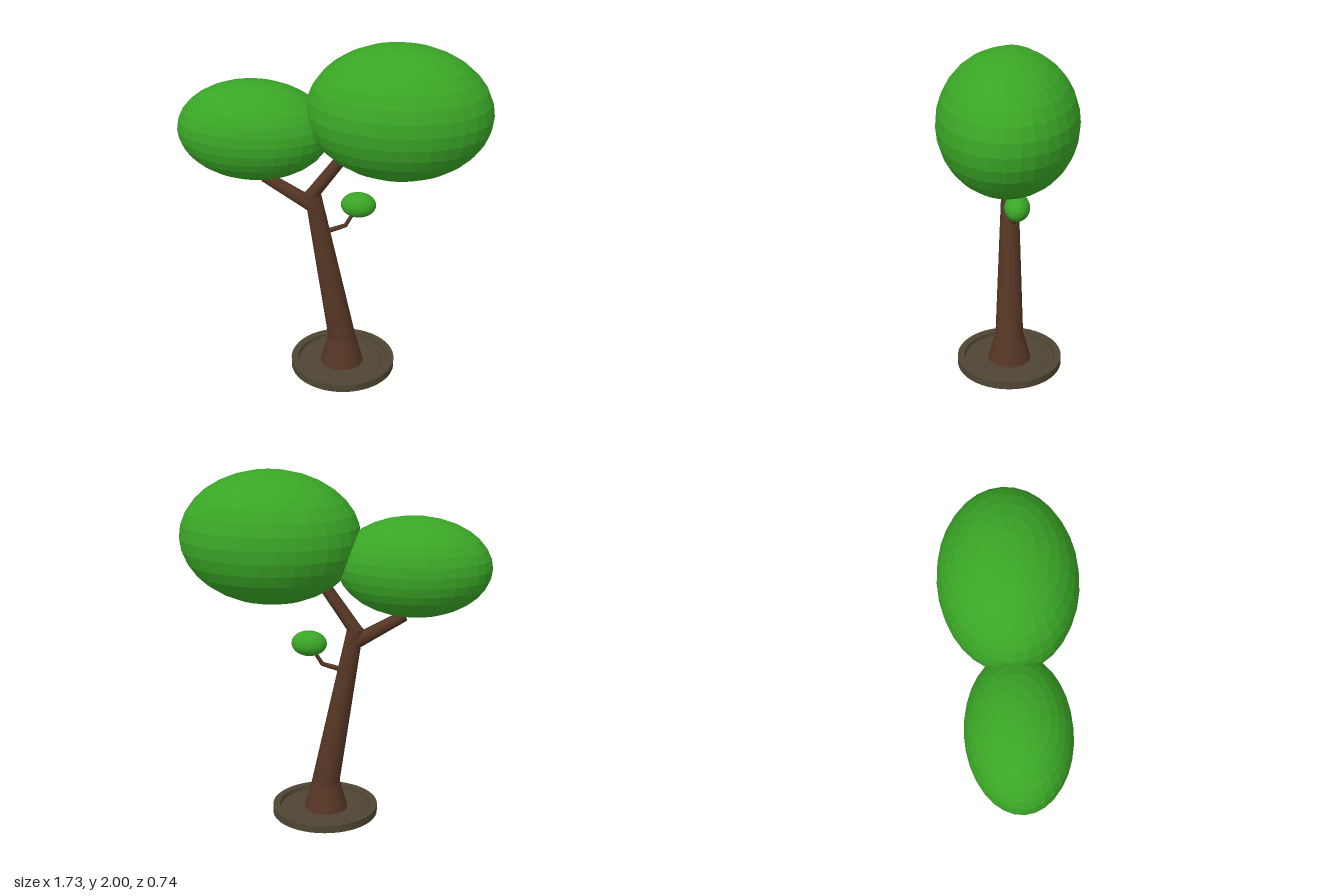
import * as THREE from 'three';

const mat = (color) => new THREE.MeshStandardMaterial({ color, flatShading: true });

export function createModel() {
  const tree = new THREE.Group();
  const bark = mat(0x553624), leaf = mat(0x3aa626), earth = mat(0x4f4533);

  const add = (name, geometry, material, parent = tree) => {
    const mesh = new THREE.Mesh(geometry, material);
    mesh.name = name;
    parent.add(mesh);
    return mesh;
  };

  // Tapered segment between two [x, y, z] points, with level cuts or cuts square to its axis
  const limb = (name, a, b, r0, r1, level = false, sides = 24, parent = tree) => {
    const from = new THREE.Vector3(...a), dir = new THREE.Vector3(...b).sub(from);
    const length = level ? dir.y : dir.length();
    const geo = new THREE.CylinderGeometry(r1, r0, length, sides).translate(0, length / 2, 0);
    if (level) {
      // shear sideways so the ends stay horizontal
      geo.applyMatrix4(new THREE.Matrix4().set(
        1, dir.x / dir.y, 0, 0, 0, 1, 0, 0, 0, dir.z / dir.y, 1, 0, 0, 0, 0, 1));
    } else {
      geo.applyQuaternion(new THREE.Quaternion().setFromUnitVectors(
        new THREE.Vector3(0, 1, 0), dir.clone().normalize()));
    }
    return add(name, geo.translate(...a), bark, parent);
  };

  // Round base dish with a raised rim and a slightly domed bed
  const profile = [[0, 0], [0.305, 0], [0.305, 0.045], [0.265, 0.045], [0.26, 0.022], [0.235, 0.022], [0.23, 0.026], [0, 0.026]]
    .map(([r, y]) => new THREE.Vector2(r, y));
  add('baseDish', new THREE.LatheGeometry(profile, 48), earth).position.x = 0.055;

  // Trunk: flared foot, leaning stem and main fork
  limb('trunkFoot', [0.05, 0.02, 0], [0.05, 0.19, 0], 0.127, 0.081, true);
  limb('trunk', [0.05, 0.19, 0], [-0.118, 1.12, 0], 0.081, 0.046, true);
  limb('rightBranch', [-0.118, 1.115, 0], [0.1, 1.42, 0.02], 0.046, 0.039, true);
  limb('leftBranch', [-0.11, 1.04, 0], [-0.39, 1.208, 0], 0.042, 0.032);

  // Bent twig with a ball over its joint
  const twig = new THREE.Group();
  twig.name = 'twig';
  tree.add(twig);
  const elbow = [0.065, 0.915, -0.025];
  limb('twigLower', [-0.07, 0.87, 0], elbow, 0.016, 0.012, false, 12, twig);
  limb('twigUpper', elbow, [0.12, 1.01, -0.042], 0.012, 0.009, false, 12, twig);
  add('twigJoint', new THREE.SphereGeometry(0.012, 12, 8), bark, twig).position.set(...elbow);

  // Ellipsoid foliage: name, centre, half sizes
  for (const [name, centre, size] of [
    ['largeCrown', [0.356, 1.628, 0], [0.505, 0.372, 0.372]],
    ['mediumCrown', [-0.44, 1.487, 0], [0.425, 0.278, 0.28]],
    ['smallLeafBall', [0.136, 1.04, -0.045], [0.1, 0.072, 0.072]],
  ]) {
    const crown = add(name, new THREE.SphereGeometry(1, 32, 16), leaf);
    crown.scale.set(...size);
    crown.position.set(...centre);
  }

  return tree;
}
